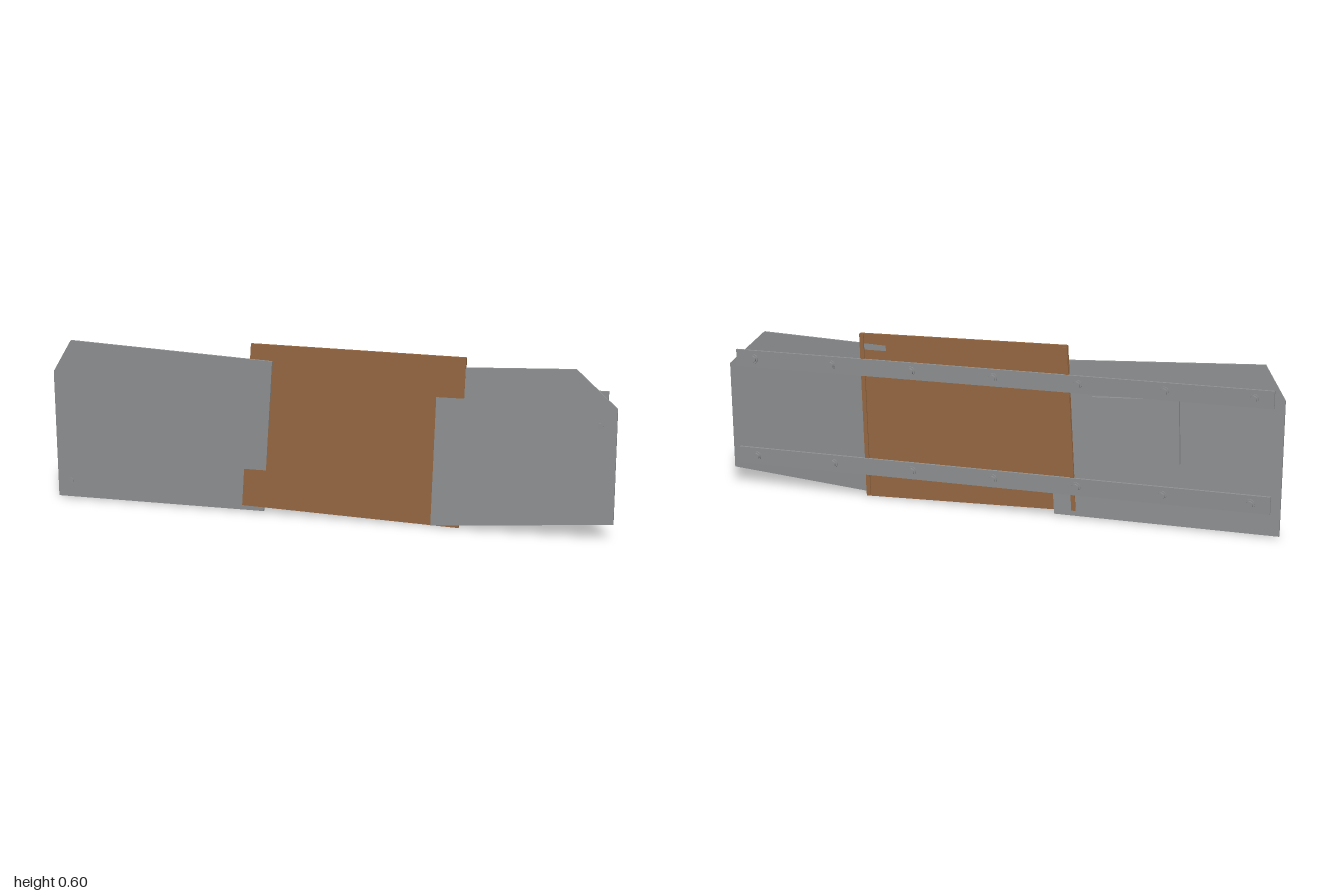
import * as THREE from 'three';

const steel = new THREE.MeshStandardMaterial({ color: 0x8f9192 });
steel.name = 'grey steel';
const rust = new THREE.MeshStandardMaterial({ color: 0x966842 });
rust.name = 'rusty brown';

// Flat plate from an outline; its front lies at z = front + lean * y
function plate(name, points, front, lean, depth, material) {
  const shape = new THREE.Shape(points.map(([x, y]) => new THREE.Vector2(x, y)));
  const geo = new THREE.ExtrudeGeometry(shape, { depth, bevelEnabled: false });
  const p = geo.attributes.position;
  for (let i = 0; i < p.count; i++) {
    p.setZ(i, p.getZ(i) - depth + front + lean * p.getY(i));
  }
  geo.computeVertexNormals();
  const mesh = new THREE.Mesh(geo, material);
  mesh.name = name;
  return mesh;
}

// Disc or hexagon whose axis runs along z
function disc(name, radius, depth, sides, x, y, z) {
  const geo = new THREE.CylinderGeometry(radius, radius, depth, sides).rotateX(Math.PI / 2);
  const mesh = new THREE.Mesh(geo, steel);
  mesh.name = name;
  mesh.position.set(x, y, z);
  return mesh;
}

export function createModel() {
  const model = new THREE.Group();
  model.name = 'patchworkBarrier';

  // Leaning steel sheets on both ends of the upright rusty sheet
  model.add(
    plate('rightSheet', [[-1, 0.005], [-0.222, 0.005], [-0.183, 0.543], [-0.93, 0.58], [-1, 0.465]],
      0.007, 0.026, 0.01, steel),
    plate('leftSheet', [[0.38, 0.005], [1, 0.055], [1, 0.445], [0.86, 0.57], [0.395, 0.552]],
      0.022, -0.0244, 0.009, steel),
    plate('middleSheet', [[-0.3, 0.022], [0.475, 0], [0.492, 0.59], [-0.262, 0.6]],
      0.011, 0, 0.011, rust),
  );

  // Narrow folded edges behind the rusty sheet
  model.add(
    plate('rightFold', [[-0.299, 0.023], [-0.284, 0.023], [-0.247, 0.592], [-0.262, 0.592]],
      0, 0, 0.005, rust),
    plate('leftFold', [[0.46, 0.008], [0.475, 0.008], [0.492, 0.588], [0.477, 0.588]],
      0, 0, 0.005, rust),
  );

  // Patch on the back of the right sheet
  model.add(plate('backPatch', [[-0.66, 0.224], [-0.36, 0.204], [-0.35, 0.43], [-0.65, 0.443]],
    -0.002, 0.026, 0.014, steel));

  // Two rear rails, each with seven bolts
  for (const y of [0.11, 0.47]) {
    const rail = new THREE.Mesh(new THREE.BoxGeometry(1.935, 0.06, 0.01), steel);
    rail.name = 'rail';
    rail.position.set(0, y, -0.005);
    model.add(rail);
    for (let i = -3; i <= 3; i++) {
      const bolt = new THREE.Group();
      bolt.name = 'bolt';
      bolt.add(
        disc('washer', 0.017, 0.004, 16, 0, 0, -0.012),
        disc('boltHead', 0.013, 0.008, 6, 0, 0, -0.018),
      );
      bolt.position.set(i * 0.3, y, 0);
      model.add(bolt);
    }
  }

  // Small rivets on the front corners
  model.add(
    disc('rightRivet', 0.01, 0.006, 12, -0.95, 0.065, 0.009),
    disc('leftRivet', 0.01, 0.006, 12, 0.945, 0.385, 0.0135),
  );
  return model;
}
